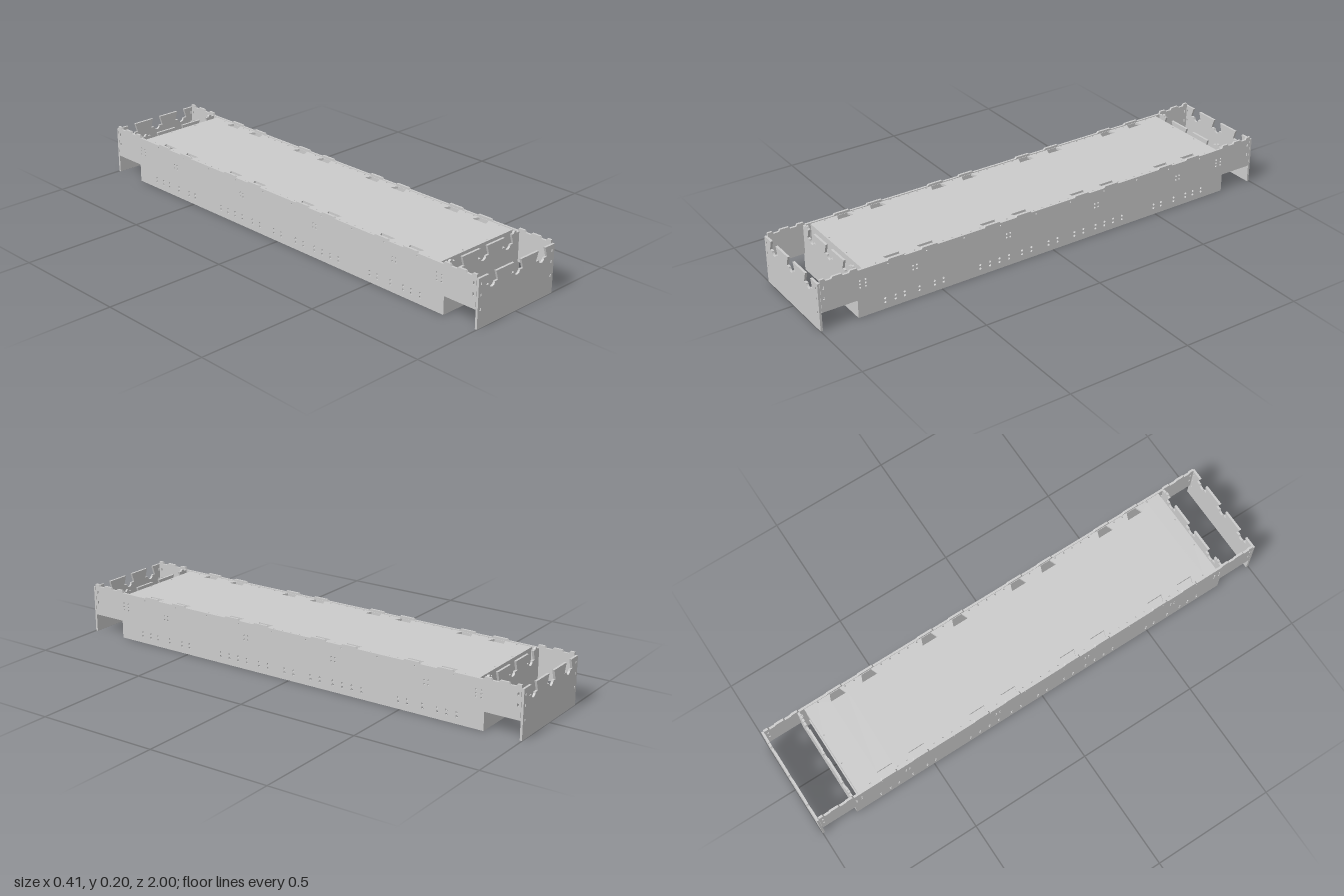
import * as THREE from 'three';

const T = 0.009; // sheet thickness
const material = new THREE.MeshStandardMaterial({ color: 0xcccccc, flatShading: true, side: THREE.DoubleSide });

const polygon = (pts) => pts.map(([x, y]) => new THREE.Vector2(x, y));

function extrude(pts, holes) {
  const shape = new THREE.Shape(polygon(pts));
  shape.holes = holes.map((h) => new THREE.Path(polygon(h)));
  return new THREE.ExtrudeGeometry(shape, { depth: T, bevelEnabled: false });
}

function arc(cx, cy, r, from, to, steps) {
  const pts = [];
  for (let i = 0; i <= steps; i++) {
    const a = from + ((to - from) * i) / steps;
    pts.push([cx + r * Math.cos(a), cy + r * Math.sin(a)]);
  }
  return pts;
}

const roundHole = (x, y, r = 0.005) => arc(x, y, r, 0, Math.PI * 2, 8).slice(0, 8);
const slot = (x, y, w, h) => [[x - w, y - h], [x + w, y - h], [x + w, y + h], [x - w, y + h]];

// Cross panel: dovetail sockets with a round relief, open at the top edge
function crossPanel(halfWidth, bumps) {
  const top = 0.193, low = 0.155;
  const pts = [[-halfWidth, 0], [halfWidth, 0], [halfWidth, top]];
  if (bumps) pts.push(...arc(0.172, top, 0.008, 0, Math.PI, 8));
  for (const x of [0.133, 0, -0.133]) {
    pts.push([x + 0.019, top], [x + 0.031, low]);
    pts.push(...arc(x, low, 0.015, 0, -Math.PI, 10));
    pts.push([x - 0.031, low], [x - 0.019, top]);
  }
  if (bumps) pts.push(...arc(-0.172, top, 0.008, 0, Math.PI, 8));
  pts.push([-halfWidth, top]);
  const holes = [];
  if (!bumps) {
    for (const s of [-1, 1]) {
      for (const y of [0.073, 0.128, 0.17]) holes.push(slot(s * 0.19, y, 0.003, 0.005));
    }
  }
  return extrude(pts, holes);
}

// Long side panel, drawn in (z, y), with stepped ends and a toothed top edge
function sidePanel() {
  const top = 0.193;
  const half = [[0.848, 0], [0.848, 0.073], [0.99, 0.073], [0.99, 0.205], [0.972, 0.205], [0.967, 0.196],
    [0.945, 0.196], [0.94, 0.204], [0.905, 0.204], [0.9, 0.196], [0.875, 0.196], [0.87, 0.204],
    [0.845, 0.204], [0.84, top]];
  // Low teeth beside each socket of the deck
  for (const z of [0.685, 0.545, 0.275, 0.135]) {
    half.push([z + 0.035, top], [z + 0.03, 0.199], [z - 0.03, 0.199], [z - 0.035, top]);
  }
  const mirrored = half.map(([z, y]) => [-z, y]).reverse();

  const holes = [];
  // Paired bolt holes along the base
  for (const z of [0.738, 0.695, 0.657, 0.595, 0.53, 0.492, 0.332, 0.289, 0.246, 0.203, 0.144, 0.101, 0.021]) {
    for (const s of [-1, 1]) for (const y of [0.028, 0.044]) holes.push(roundHole(s * z, y));
  }
  // Bolt clusters at mid height
  for (const z of [-0.61, -0.205, 0.205, 0.61]) {
    for (const dz of [-0.008, 0.008]) for (const y of [0.122, 0.138]) holes.push(roundHole(z + dz, y, 0.004));
  }
  for (const s of [-1, 1]) {
    for (const y of [0.122, 0.136, 0.15]) {
      holes.push(roundHole(s * 0.835, y, 0.004), roundHole(s * 0.812, y, 0.004));
    }
    for (const y of [0.128, 0.17]) holes.push(slot(s * 0.978, y, 0.003, 0.006));
  }
  // Sparse rivet holes near the top
  for (let z = -0.72; z <= 0.73; z += 0.16) holes.push(roundHole(z, 0.182, 0.003));
  return extrude([...half, ...mirrored], holes).rotateY(-Math.PI / 2);
}

// Flat deck, drawn in (x, z), with dovetail sockets and rivet holes on the long sides
function deck(sockets) {
  const w = 0.196, l = 0.818;
  const holes = [];
  const centres = sockets ? [-0.685, -0.545, -0.275, -0.135, 0.135, 0.275, 0.545, 0.685] : [];
  for (const s of [-1, 1]) {
    for (const z of centres) {
      holes.push([[s * 0.193, z - 0.022], [s * 0.165, z - 0.033], [s * 0.165, z + 0.033], [s * 0.193, z + 0.022]]);
    }
    for (let i = -19; i <= 19; i++) {
      const z = i * 0.04;
      if (centres.every((c) => Math.abs(c - z) > 0.04)) holes.push(roundHole(s * 0.189, z, 0.0035));
    }
    for (const x of [-0.065, 0.065]) holes.push(roundHole(x, s * 0.808, 0.0035));
  }
  return extrude([[-w, -l], [w, -l], [w, l], [-w, l]], holes).rotateX(Math.PI / 2);
}

export function createModel() {
  const group = new THREE.Group();
  const add = (name, geometry, x, y, z) => {
    const mesh = new THREE.Mesh(geometry, material);
    mesh.name = name;
    mesh.position.set(x, y, z);
    group.add(mesh);
  };

  // Side walls
  const side = sidePanel();
  add('leftSidePanel', side, 0.204, 0, 0);
  add('rightSidePanel', side, -0.204 + T, 0, 0);

  // End panels and inner bulkheads
  const end = crossPanel(0.204, false);
  const bulkhead = crossPanel(0.195, true);
  add('frontEndPanel', end, 0, 0, 1 - T);
  add('backEndPanel', end, 0, 0, -1);
  add('frontBulkhead', bulkhead, 0, 0, 0.848 - T);
  add('backBulkhead', bulkhead, 0, 0, -0.848);

  // Top deck with folded-down end flanges
  add('topDeck', deck(true), 0, 0.19, 0);
  const flange = new THREE.BoxGeometry(0.39, 0.075, 0.006);
  for (const s of [-1, 1]) add('deckEndFlange', flange, 0, 0.144, s * 0.813);

  // Recessed floor
  add('bottomPlate', deck(false), 0, 0.05, 0);
  return group;
}
